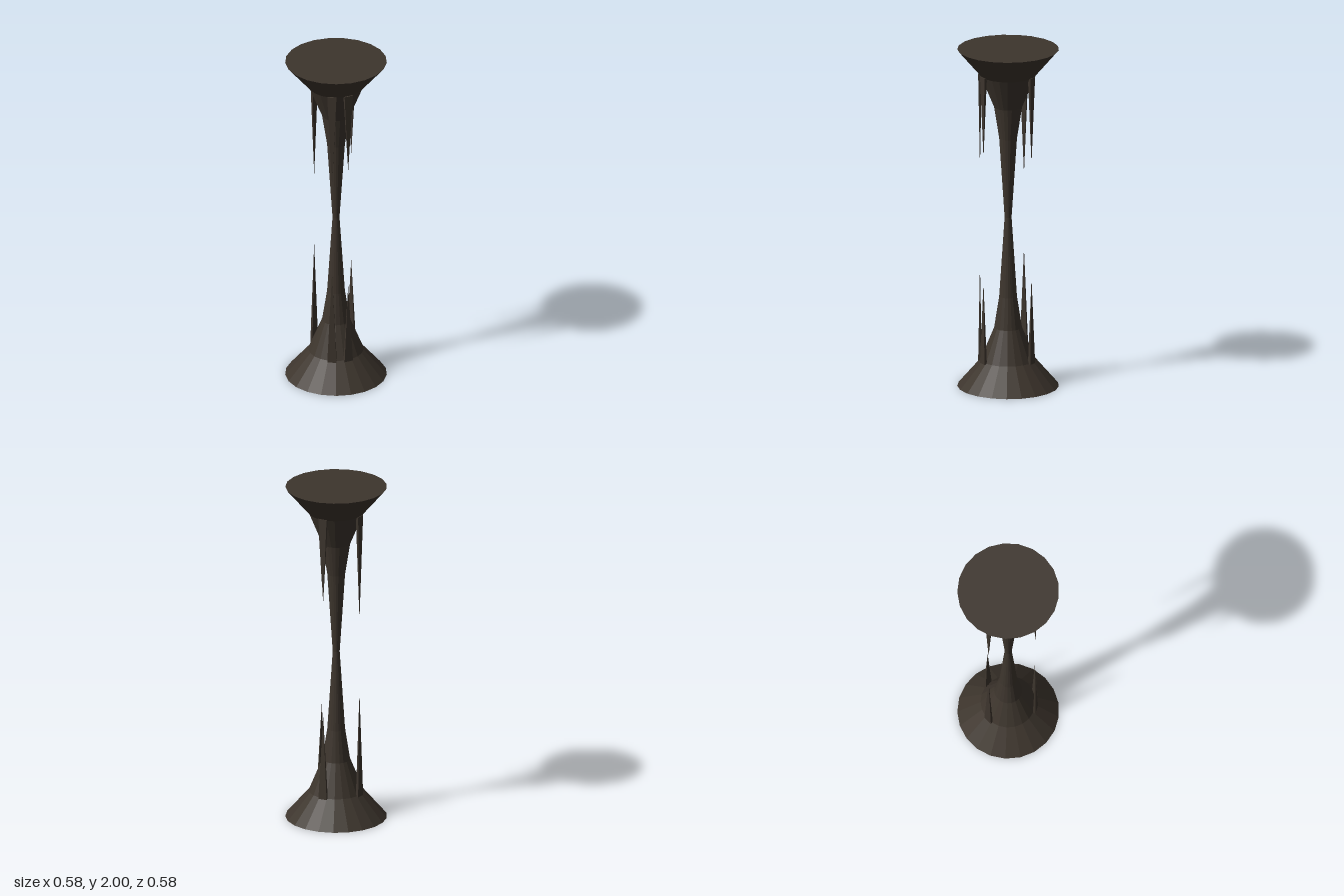
import * as THREE from 'three';

export function createModel() {
  const stone = new THREE.MeshStandardMaterial({ color: 0x3d352d });
  stone.name = 'dark stone';
  stone.flatShading = true;

  const model = new THREE.Group();
  model.name = 'stonePillar';

  // Column: flared foot, thin waist, mirrored flared head
  const half = [[0, 0], [0.291, 0], [0.158, 0.155], [0.08, 0.345], [0.051, 0.53]];
  const profile = [
    ...half,
    [0.02, 1],
    ...half.map(([r, y]) => [r, 2 - y]).reverse(),
  ].map(([r, y]) => new THREE.Vector2(r, y));
  const column = new THREE.Mesh(new THREE.LatheGeometry(profile, 21, Math.PI), stone);
  column.name = 'column';
  model.add(column);

  // Flat tapering spike: a four-sided pyramid, wide around the column and thin outwards
  function spike(name, x, z, length, up) {
    const geometry = new THREE.ConeGeometry(Math.SQRT1_2, 1, 4);
    geometry.rotateY(Math.PI / 4);
    geometry.scale(0.053, length, 0.016);
    if (!up) geometry.rotateZ(Math.PI);
    const mesh = new THREE.Mesh(geometry, stone);
    mesh.name = name;
    const y = 0.15 + length / 2;
    mesh.position.set(x, up ? y : 2 - y, z);
    mesh.rotation.y = Math.atan2(x, z);
    model.add(mesh);
  }

  // Each spike stands on the foot and hangs, mirrored, from the head
  const spikes = [
    [0, 0.16, 0.48],
    [-0.09, 0.134, 0.57],
    [-0.07, -0.141, 0.63],
    [0.135, -0.079, 0.51],
  ];
  spikes.forEach(([x, z, length], i) => {
    spike(`lowerSpike${i + 1}`, x, z, length, true);
    spike(`upperSpike${i + 1}`, x, z, length, false);
  });

  return model;
}
